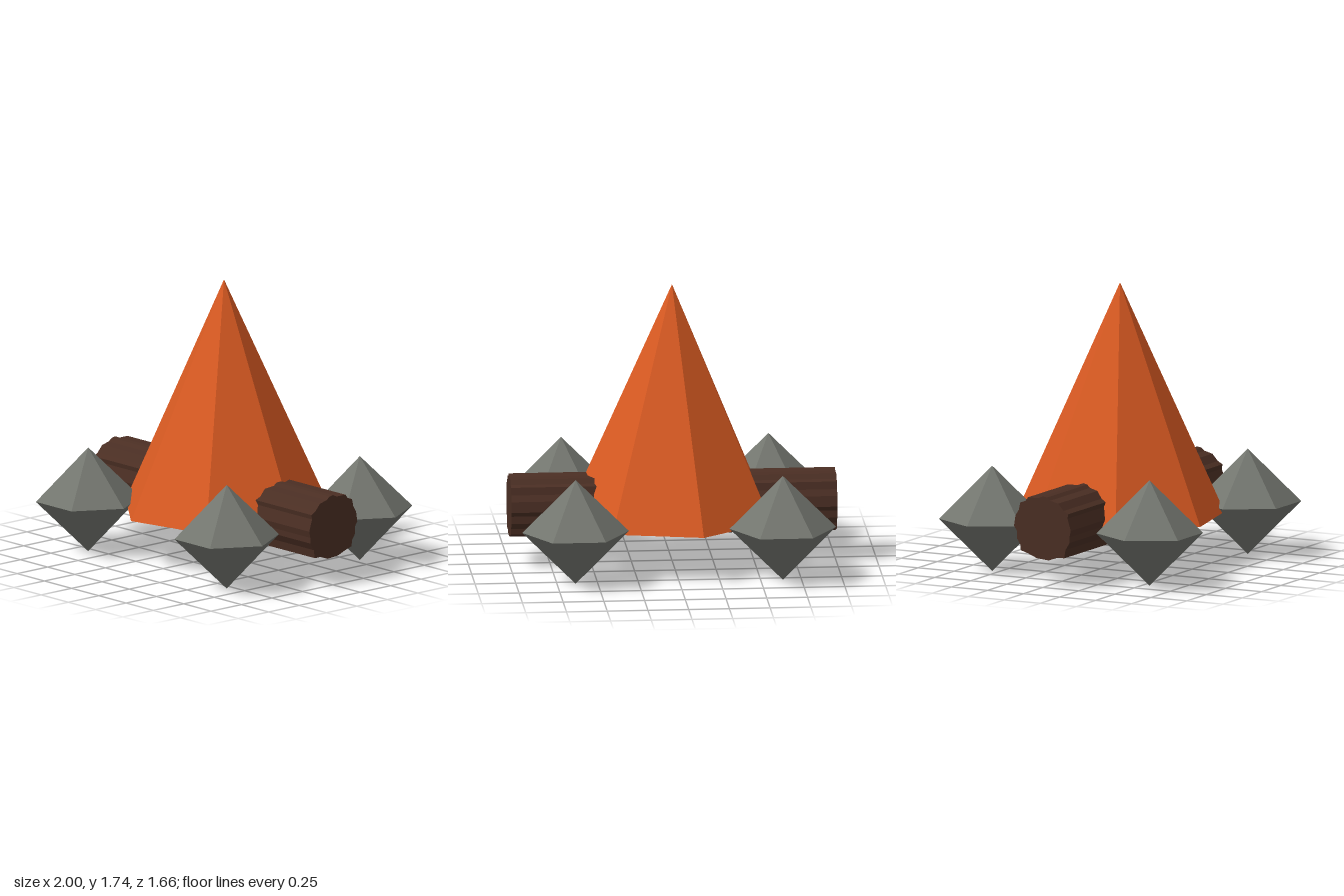
import * as THREE from 'three';

const flat = (name, color) => new THREE.MeshStandardMaterial({ name, color, flatShading: true });

// Rough bark outline of the log, seen from its right end, around the log's axis
const BARK = [
  [0, .199], [.032, .185], [.102, .185], [.125, .157], [.157, .148], [.167, .102], [.19, .065],
  [.2, 0], [.181, -.028], [.181, -.074], [.157, -.111], [.153, -.148], [.102, -.164], [.042, -.188],
  [-.042, -.196], [-.097, -.174], [-.148, -.174], [-.157, -.122], [-.185, -.076], [-.185, -.04],
  [-.194, 0], [-.171, .074], [-.176, .102], [-.144, .12], [-.106, .162], [-.051, .176], [-.028, .194],
];

export function createModel() {
  const orange = flat('orange', 0xd95a22);
  const brown = flat('barkBrown', 0x4a2e23);
  const grey = flat('stoneGrey', 0x73766f);

  const model = new THREE.Group();
  model.name = 'tentOnLog';
  const add = (name, geometry, material, x, y, z) => {
    const mesh = new THREE.Mesh(geometry, material);
    mesh.name = name;
    mesh.position.set(x, y, z);
    model.add(mesh);
  };

  // Seven-sided cone with one corner towards +x
  const bottom = 0.295, apex = 1.74;
  const cone = new THREE.ConeGeometry(0.65, apex - bottom, 7, 1, false, Math.PI / 2);
  add('cone', cone, orange, 0, (bottom + apex) / 2, 0);

  // Log lying along x through the cone
  const outline = new THREE.Shape(BARK.map(([u, v]) => new THREE.Vector2(u, v)));
  const log = new THREE.ExtrudeGeometry(outline, { depth: 2, bevelEnabled: false });
  log.translate(0, 0, -1).rotateY(Math.PI / 2);
  add('log', log, brown, 0, 0.367, 0);

  // Four six-sided double-pointed stones
  const stone = new THREE.SphereGeometry(0.327, 6, 2);
  for (const [sx, side] of [[1, 'Left'], [-1, 'Right']])
    for (const [sz, end] of [[1, 'front'], [-1, 'back']])
      add(`${end}${side}Stone`, stone, grey, sx * 0.636, 0.327, sz * 0.546);

  return model;
}
